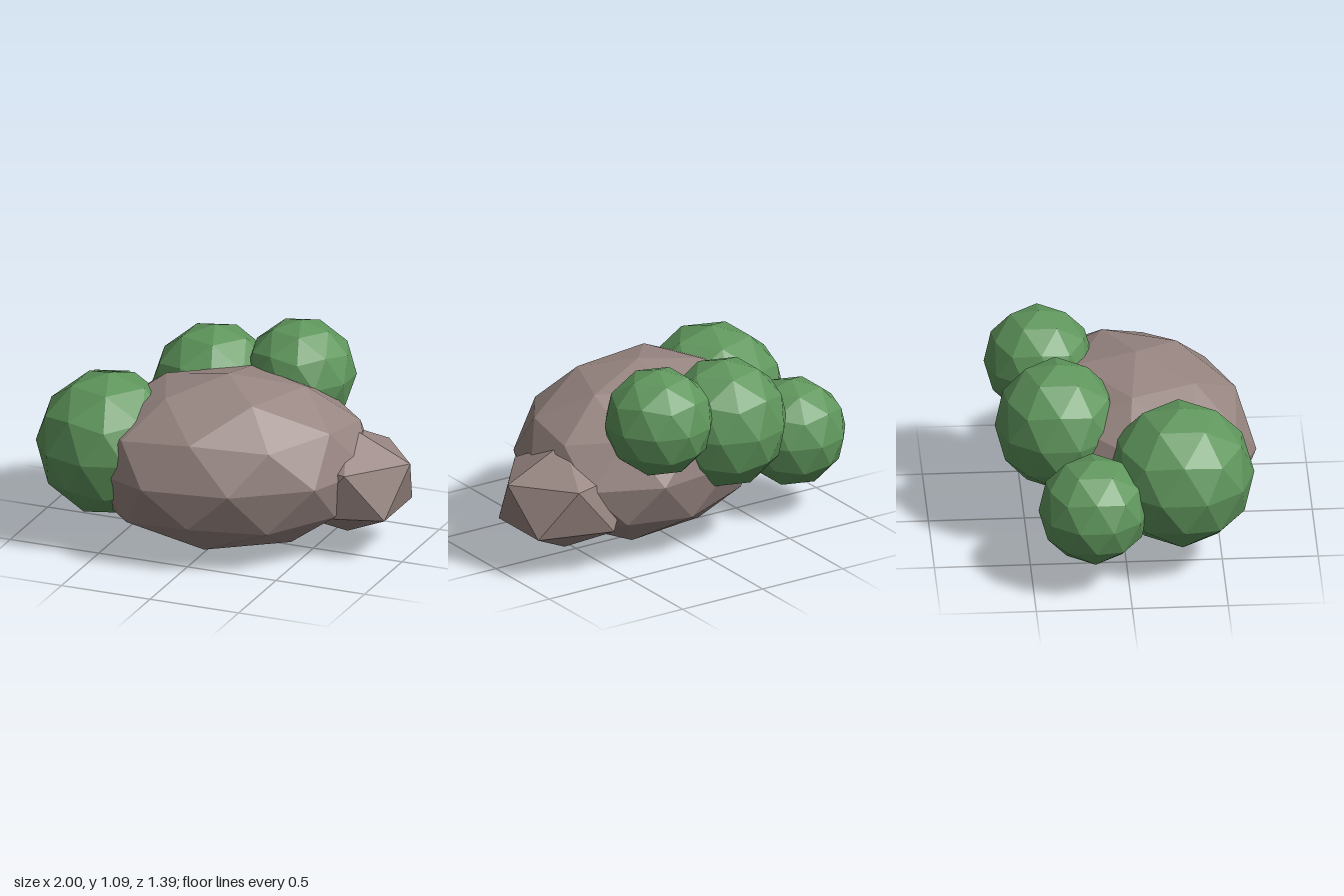
import * as THREE from 'three';

// Faceted ball with a vertex at the top and an upper ring corner on +x
function facetedBall(detail) {
  const golden = (1 + Math.sqrt(5)) / 2;
  const geometry = new THREE.IcosahedronGeometry(1, detail);
  geometry.rotateX(-Math.atan(golden));
  geometry.rotateY(Math.PI / 10);
  return geometry;
}

export function createModel() {
  const rock = new THREE.MeshStandardMaterial({ color: 0x978581, flatShading: true });
  rock.name = 'rock';
  const leaf = new THREE.MeshStandardMaterial({ color: 0x5f965c, flatShading: true });
  leaf.name = 'leaf';

  const coarse = facetedBall(0);
  const fine = facetedBall(1);
  const model = new THREE.Group();
  model.name = 'rockWithBushes';

  function add(name, geometry, material, position, radii, turn = 0) {
    const mesh = new THREE.Mesh(geometry, material);
    mesh.name = name;
    mesh.position.set(...position);
    mesh.scale.set(...radii);
    mesh.rotation.y = turn;
    model.add(mesh);
  }

  // Boulders
  add('largeRock', fine, rock, [0.057, 0.47, 0.085], [0.768, 0.47, 0.589], 0.392);
  add('smallRock', coarse, rock, [0.645, 0.375, -0.11], [0.397, 0.295, 0.354]);

  // Bushes around the boulder
  add('frontBush', fine, leaf, [-0.535, 0.5375, 0.28], [0.382, 0.3875, 0.385]);
  add('sideBush', fine, leaf, [-0.725, 0.446, -0.183], [0.29, 0.29, 0.288]);
  add('backBush', fine, leaf, [-0.2, 0.67, -0.342], [0.335, 0.35, 0.325]);
  add('backLeftBush', fine, leaf, [0.257, 0.8, -0.41], [0.292, 0.29, 0.286]);

  return model;
}
